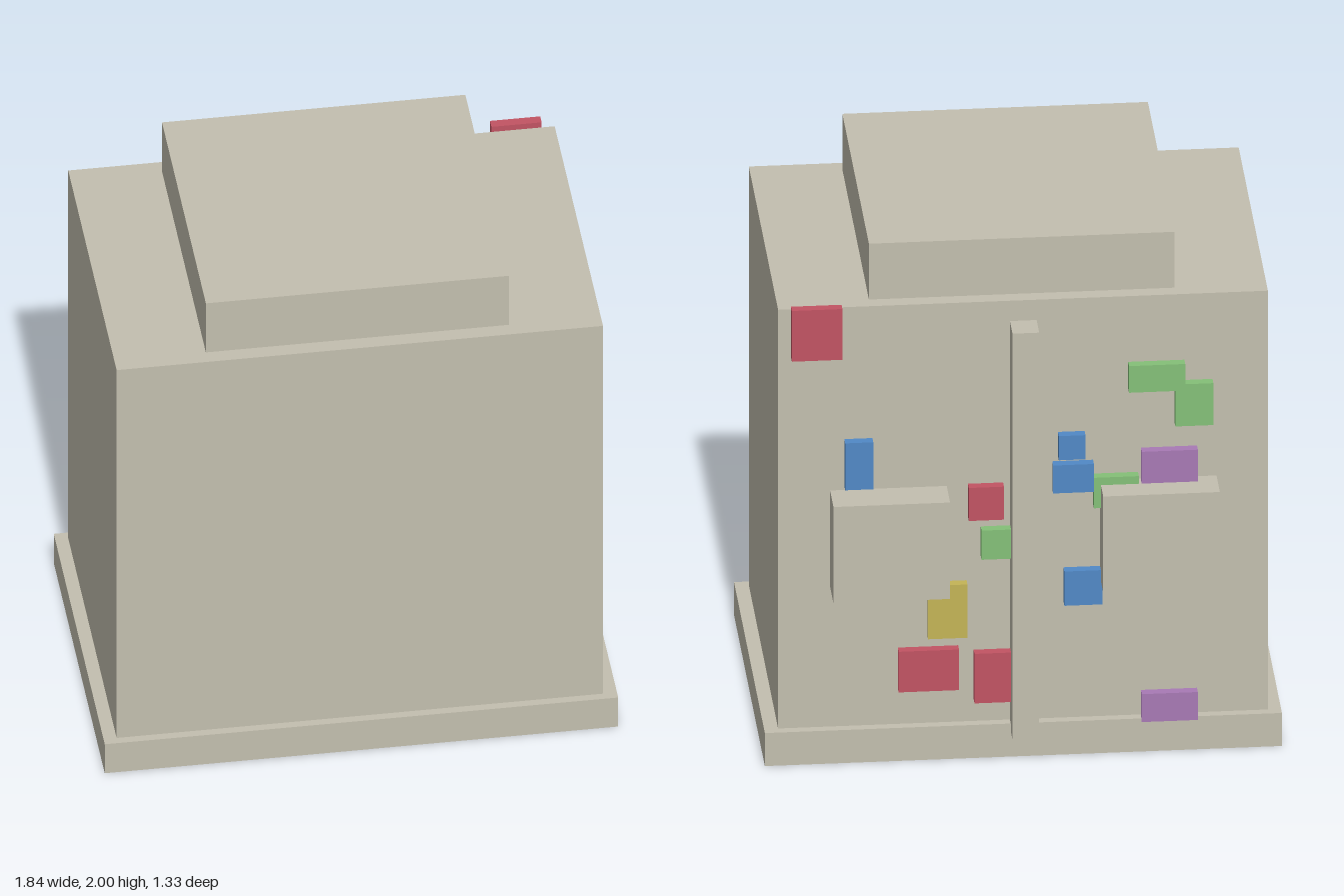
import * as THREE from 'three';

const material = (name, color) => {
  const m = new THREE.MeshStandardMaterial({ color });
  m.name = name;
  return m;
};

export function createModel() {
  const stone = material('stone', 0xc3bfaf);
  const red = material('red', 0xc25463);
  const blue = material('blue', 0x5189c6);
  const green = material('green', 0x84c078);
  const yellow = material('yellow', 0xc4b456);
  const purple = material('purple', 0xa87ab5);

  const model = new THREE.Group();
  model.name = 'building';

  // Box given by its extents along each axis
  const addBox = (parent, name, mat, [x0, x1], [y0, y1], [z0, z1]) => {
    const mesh = new THREE.Mesh(new THREE.BoxGeometry(x1 - x0, y1 - y0, z1 - z0), mat);
    mesh.position.set((x0 + x1) / 2, (y0 + y1) / 2, (z0 + z1) / 2);
    mesh.name = name;
    parent.add(mesh);
  };

  // Main masses
  addBox(model, 'plinth', stone, [-0.92, 0.92], [0, 0.13], [-0.565, 0.665]);
  addBox(model, 'mainBlock', stone, [-0.873, 0.87], [0.13, 1.78], [-0.532, 0.635]);
  addBox(model, 'roofBlock', stone, [-0.545, 0.542], [1.78, 2], [-0.478, 0.58]);

  // Rear pipe and the two wall units
  addBox(model, 'rearPipe', stone, [-0.05, 0.045], [0.1, 1.7], [-0.635, -0.532]);
  addBox(model, 'leftWallUnit', stone, [0.27, 0.685], [0.68, 1.06], [-0.667, -0.532]);
  addBox(model, 'rightWallUnit', stone, [-0.69, -0.275], [0.68, 1.06], [-0.667, -0.532]);

  // Coloured panels scattered over the rear wall: material, x range, y range
  const panels = new THREE.Group();
  panels.name = 'rearPanels';
  model.add(panels);
  [
    [red, [0.645, 0.825], [1.595, 1.795]],
    [blue, [0.535, 0.635], [1.08, 1.265]],
    [red, [0.07, 0.195], [0.94, 1.07]],
    [green, [0.04, 0.15], [0.785, 0.9]],
    [yellow, [0.2, 0.34], [0.48, 0.69]],
    [red, [0.23, 0.445], [0.275, 0.435]],
    [red, [0.04, 0.175], [0.22, 0.415]],
    [blue, [-0.22, -0.125], [1.165, 1.26]],
    [blue, [-0.25, -0.105], [1.035, 1.145]],
    [green, [-0.575, -0.375], [1.42, 1.525]],
    [green, [-0.675, -0.54], [1.28, 1.445]],
    [green, [-0.41, -0.25], [0.97, 1.09]],
    [purple, [-0.62, -0.42], [1.05, 1.185]],
    [purple, [-0.62, -0.42], [0.12, 0.23]],
    [blue, [-0.28, -0.145], [0.59, 0.725]],
  ].forEach(([mat, xs, ys], i) => {
    // Overlapping panels sit at minutely different depths
    const d = i * 0.0002;
    addBox(panels, `${mat.name}Panel${i + 1}`, mat, xs, ys, [-0.577 + d, -0.542 + d]);
  });

  return model;
}
